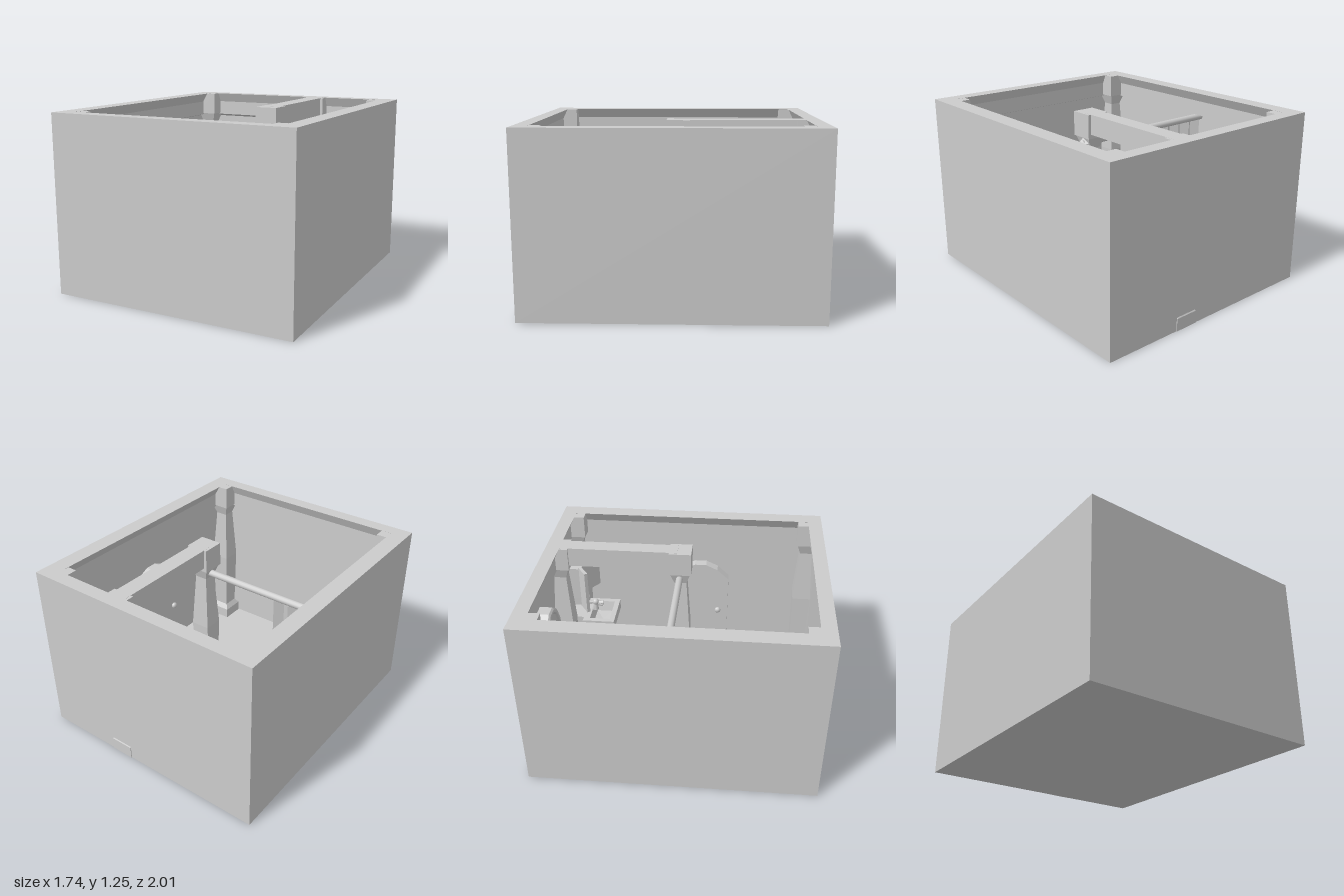
import * as THREE from 'three';

const flat = new THREE.MeshStandardMaterial({ color: 0xcccccc, flatShading: true, side: THREE.DoubleSide });
const smooth = new THREE.MeshStandardMaterial({ color: 0xcccccc, side: THREE.DoubleSide });
const V = (x, y, z) => new THREE.Vector3(x, y, z);

// Skin a list of closed rings of points; closed joins the last ring to the first
function loft(rings, closed = false) {
  const n = rings[0].length, index = [];
  const last = closed ? rings.length : rings.length - 1;
  for (let i = 0; i < last; i++) {
    const k = (i + 1) % rings.length;
    for (let j = 0; j < n; j++) {
      const a = i * n + j, b = i * n + (j + 1) % n, c = k * n + j, d = k * n + (j + 1) % n;
      index.push(a, c, b, b, c, d);
    }
  }
  const geo = new THREE.BufferGeometry().setFromPoints(rings.flat());
  geo.setIndex(index);
  geo.computeVertexNormals();
  return geo;
}

export function createModel() {
  const room = new THREE.Group();
  room.name = 'bathroom';

  const add = (name, geo, mat = flat, x = 0, y = 0, z = 0, parent = room) => {
    const m = new THREE.Mesh(geo, mat);
    m.name = name;
    m.position.set(x, y, z);
    parent.add(m);
    return m;
  };
  // Box given by its lower and upper limits on each axis
  const box = (name, x0, x1, y0, y1, z0, z1, parent = room) =>
    add(name, new THREE.BoxGeometry(x1 - x0, y1 - y0, z1 - z0), flat,
      (x0 + x1) / 2, (y0 + y1) / 2, (z0 + z1) / 2, parent);
  const pipe = (name, pts, r, parent = room) =>
    add(name, new THREE.TubeGeometry(new THREE.CatmullRomCurve3(pts, false, 'catmullrom', 0.2), 20, r, 8), smooth, 0, 0, 0, parent);

  // Floor, thin walls and overhanging cornice
  box('floor', -0.87, 0.87, 0, 0.01, -1, 1);
  const rect = (o, y) => [[-1, -1], [1, -1], [1, 1], [-1, 1]].map(([sx, sz]) =>
    V(sx * (0.87 - o), y, sz * (1 - o * 0.83)));
  add('walls', loft([rect(0, 0), rect(0, 1.25)]));
  const cornice = [[0, 1.25], [0.12, 1.25], [0.08, 1.18], [0.08, 1.07], [0, 1.05]];
  add('cornice', loft(cornice.map(([o, y]) => rect(o, y))));

  // Square flared columns with cap blocks
  const profile = [[0.085, 0], [0.085, 0.09], [0.06, 0.13], [0.07, 0.6], [0.045, 1.0], [0.075, 1.09]]
    .map(([r, y]) => new THREE.Vector2(r * Math.SQRT2, y));
  const columnGeo = new THREE.LatheGeometry(profile, 4);
  columnGeo.rotateY(Math.PI / 4);
  const column = (name, x, z) => {
    add(name, columnGeo, flat, x, 0, z);
    box(name + 'Cap', x - 0.08, x + 0.08, 1.08, 1.249, z - 0.08, z + 0.08);
  };
  for (const sx of [-1, 1])
    for (const sz of [-1, 1]) column('cornerColumn', sx * 0.757, sz * 0.905);
  column('wallColumn', 0.23, -0.92);
  column('freeColumn', 0.23, -0.03);
  box('ceilingBeam', 0.17, 0.29, 1.11, 1.25, -1, -0.05);

  // Curtain rail with pointed end and pleated curtain
  const rail = add('curtainRail', new THREE.CylinderGeometry(0.025, 0.025, 1.18, 12), smooth, -0.28, 1.04, -0.035);
  rail.rotation.z = Math.PI / 2;
  const tip = add('railTip', new THREE.ConeGeometry(0.045, 0.05, 4), flat, 0.315, 1.04, -0.035);
  tip.rotation.z = -Math.PI / 2;
  const pleats = new THREE.PlaneGeometry(0.45, 0.9, 8, 1);
  const pp = pleats.attributes.position;
  for (let i = 0; i < pp.count; i++) pp.setZ(i, (i % 9) % 2 ? 0.022 : -0.022);
  add('showerCurtain', pleats, flat, -0.61, 0.57, -0.035);

  // Egg-shaped bathtub: rolled rim and bowl
  const egg = [[-0.69, -0.42], [-0.6, -0.65], [-0.42, -0.71], [-0.21, -0.685], [-0.01, -0.575], [0.1, -0.425],
    [0.09, -0.275], [0.01, -0.17], [-0.175, -0.125], [-0.395, -0.155], [-0.58, -0.27]];
  const cx = -0.29, cz = -0.42;
  const tub = new THREE.Group();
  tub.name = 'bathtub';
  room.add(tub);
  const rim = egg.map(([x, z]) => {
    const out = V(x - cx, 0, z - cz).normalize();
    return Array.from({ length: 12 }, (_, i) => {
      const a = i / 12 * Math.PI * 2;
      return V(x, 0.39 + 0.05 * Math.sin(a), z).addScaledVector(out, 0.05 * Math.cos(a));
    });
  });
  add('tubRim', loft(rim, true), smooth, 0, 0, 0, tub);
  const eggRing = ([s, y]) => egg.map(([x, z]) => V(cx + (x - cx) * s, y, cz + (z - cz) * s));
  add('tubBowl', loft([[0.97, 0.39], [0.88, 0.25], [0.72, 0.14], [0.4, 0.08], [0.001, 0.07]].map(eggRing)), smooth, 0, 0, 0, tub);
  add('tubBody', loft([[1.02, 0.38], [0.97, 0.24], [0.82, 0.1], [0.6, 0.01]].map(eggRing)), smooth, 0, 0, 0, tub);

  // Cross-handled tap
  const tap = (name, x, y, z, turn) => {
    const g = new THREE.Group();
    g.name = name;
    g.position.set(x, y, z);
    g.rotation.y = turn;
    room.add(g);
    add('stem', new THREE.CylinderGeometry(0.015, 0.02, 0.07, 10), smooth, 0, 0.02, 0, g);
    add('knob', new THREE.SphereGeometry(0.026, 10, 8), smooth, 0, 0.055, 0, g);
    for (const s of [-1, 1]) {
      const arm = add('handle', new THREE.CylinderGeometry(0.017, 0.01, 0.05, 8), smooth, s * 0.04, 0.05, 0, g);
      arm.rotation.z = -s * Math.PI / 2;
    }
  };
  tap('tubTap', -0.63, 0.44, -0.59, -0.25);
  tap('tubTap', -0.67, 0.44, -0.46, -0.25);

  // Shower pipe and faceted head
  pipe('showerPipe', [V(-0.76, 0.38, -0.57), V(-0.76, 0.9, -0.57), V(-0.73, 0.955, -0.56),
    V(-0.67, 0.94, -0.545), V(-0.5, 0.83, -0.5)], 0.02);
  const head = add('showerHead', new THREE.CylinderGeometry(0.02, 0.075, 0.1, 6), flat, -0.475, 0.81, -0.485);
  head.quaternion.setFromUnitVectors(V(0, 1, 0), V(-0.6, 0.77, -0.15).normalize());

  // Oval window on the back wall
  const oval = (rx, ry) => new THREE.Shape().absellipse(0, 0, rx, ry, 0, Math.PI * 2);
  const frame = oval(0.21, 0.3);
  frame.holes.push(oval(0.165, 0.255));
  const frameGeo = new THREE.ExtrudeGeometry(frame, { depth: 0.1, bevelEnabled: true, bevelSize: 0.012,
    bevelThickness: 0.012, bevelOffset: -0.012, bevelSegments: 1, curveSegments: 7 });
  add('windowFrame', frameGeo, flat, -0.26, 0.7, -0.987);
  add('windowPane', new THREE.ShapeGeometry(oval(0.18, 0.27), 7), flat, -0.26, 0.7, -0.93);
  const latch = add('windowLatch', new THREE.CylinderGeometry(0.017, 0.017, 0.09, 8), smooth, -0.32, 0.7, -0.84);
  latch.rotation.z = 1.2;
  const latchStem = add('latchStem', new THREE.CylinderGeometry(0.015, 0.015, 0.09, 8), smooth, -0.32, 0.7, -0.88);
  latchStem.rotation.x = Math.PI / 2;

  // Shallow-arched panels on the side walls
  const archPanel = (name, x, z, width, side, rise, depth) => {
    const w = width / 2, s = new THREE.Shape();
    s.moveTo(-w, 0);
    s.lineTo(w, 0);
    s.lineTo(w, side);
    s.quadraticCurveTo(0, side + rise * 2, -w, side);
    const g = new THREE.ExtrudeGeometry(s, { depth, bevelEnabled: false, curveSegments: 5 });
    g.rotateY(Math.PI / 2);
    return add(name, g, flat, x, 0.01, z);
  };
  archPanel('archedCabinet', -0.865, 0.475, 0.39, 0.7, 0.06, 0.215);
  archPanel('archedDoor', 0.79, 0.08, 0.46, 0.68, 0.13, 0.075);
  const doorKnob = add('doorKnob', new THREE.SphereGeometry(0.025, 10, 8), smooth, 0.775, 0.4, 0.23);
  doorKnob.scale.x = 0.8;

  // Washbasin: tapered box with a sunken bowl, pedestal and tap
  const basin = new THREE.Group();
  basin.name = 'washbasin';
  room.add(basin);
  const basinRing = ([w, d, y, z]) => [[-1, -1], [1, -1], [1, 1], [-1, 1]].map(([sx, sz]) =>
    V(0.54 + sx * w, y, z + sz * d));
  add('basin', loft([[0.1, 0.08, 0.34, -0.74], [0.17, 0.125, 0.42, -0.705], [0.17, 0.125, 0.5, -0.705],
    [0.13, 0.08, 0.5, -0.7], [0.11, 0.065, 0.42, -0.7], [0.001, 0.001, 0.41, -0.7]].map(basinRing)), flat, 0, 0, 0, basin);
  box('pedestal', 0.47, 0.61, 0.01, 0.38, -0.82, -0.68, basin);
  box('wallBracket', 0.45, 0.63, 0.38, 0.48, -1, -0.82, basin);
  tap('basinTap', 0.54, 0.52, -0.75, Math.PI / 2);
  pipe('basinSpout', [V(0.54, 0.5, -0.77), V(0.54, 0.56, -0.75), V(0.54, 0.55, -0.69)], 0.014, basin);

  // Three-leaf mirror above the basin
  box('mirrorCentre', 0.4, 0.68, 0.62, 0.96, -0.835, -0.81);
  box('mirrorBack', 0.45, 0.63, 0.66, 0.92, -1, -0.83);
  for (const s of [-1, 1]) {
    const leaf = add('mirrorLeaf', new THREE.BoxGeometry(0.11, 0.34, 0.025), flat, 0.54 + s * 0.18, 0.79, -0.79);
    leaf.rotation.y = -s * 0.6;
  }
  return room;
}
